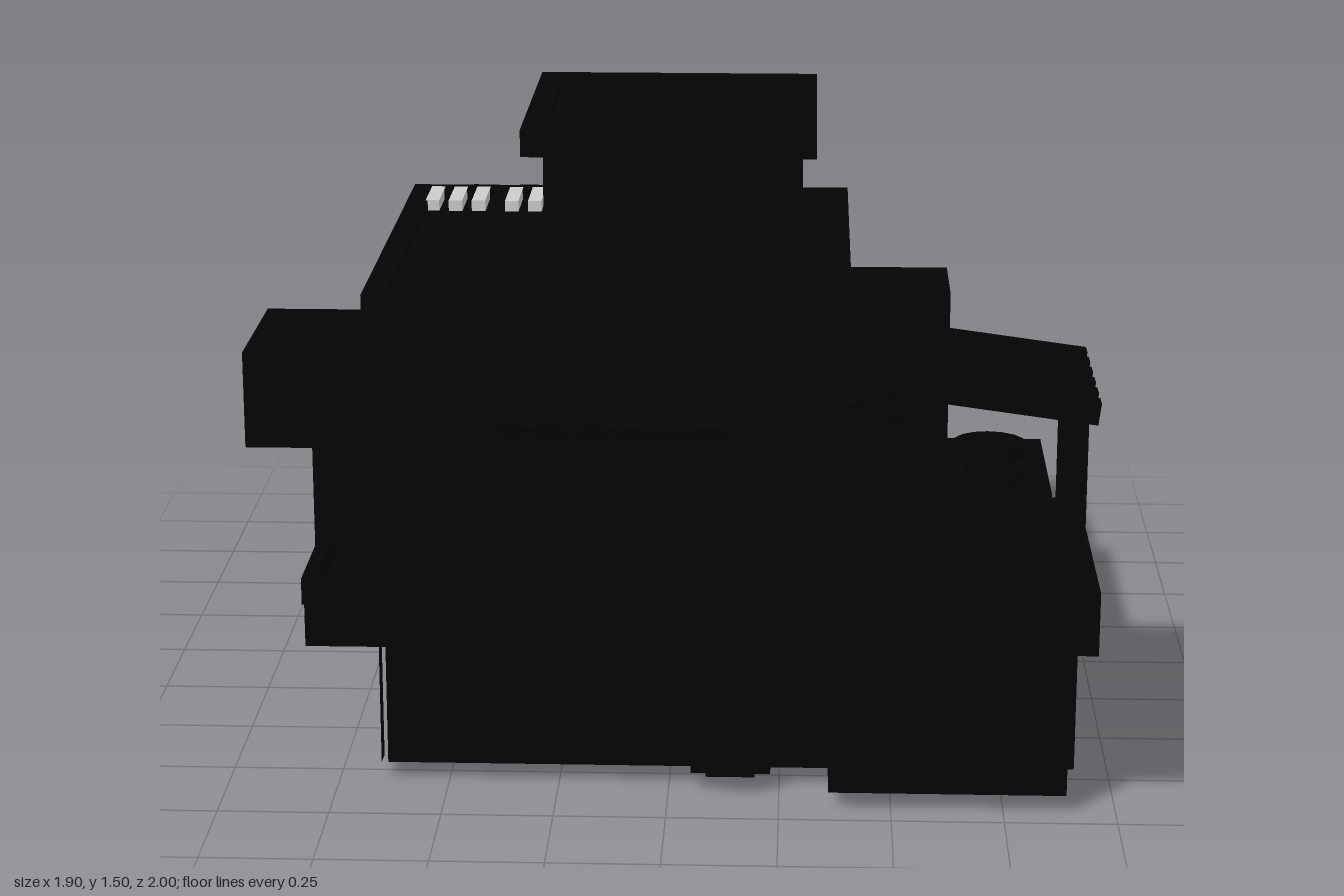
import * as THREE from 'three';

const dark = new THREE.MeshStandardMaterial({ color: 0x040404, flatShading: true, side: THREE.DoubleSide });
const grey = new THREE.MeshStandardMaterial({ color: 0xcccccc, flatShading: true, side: THREE.DoubleSide });
const inner = new THREE.MeshStandardMaterial({ color: 0xcccccc, flatShading: true, side: THREE.BackSide });

export function createModel() {
  const model = new THREE.Group();

  const add = (name, geo, mat = dark, parent = model) => {
    const m = new THREE.Mesh(geo, mat);
    m.name = name;
    parent.add(m);
    return m;
  };
  // box given by its two extreme corners
  const box = (name, x0, x1, y0, y1, z0, z1, mat = dark, parent = model) => {
    const m = add(name, new THREE.BoxGeometry(x1 - x0, y1 - y0, z1 - z0), mat, parent);
    m.position.set((x0 + x1) / 2, (y0 + y1) / 2, (z0 + z1) / 2);
    return m;
  };
  // block open underneath, with pale walls inside
  const shell = (name, x0, x1, y0, y1, z0, z1, ceiling = 0.42) => {
    const openBox = (mat, a, b, c, d, e, f, skip) => {
      const m = box(name, a, b, c, d, e, f, mat);
      const index = Array.from(m.geometry.index.array);
      // box faces run +x, -x, +y, -y, +z, -z, six indices each
      m.geometry.setIndex(index.filter((_, i) => !skip.includes(Math.floor(i / 6))));
    };
    const t = 0.008;
    openBox(dark, x0, x1, y0, y1, z0, z1, [3]);
    openBox(inner, x0 + t, x1 - t, y0, ceiling, z0 + t, z1 - t, [2, 3]);
    box(name + 'Ceiling', x0 + t, x1 - t, ceiling - 0.01, ceiling, z0 + t, z1 - t);
  };
  // roof slab with a raised rim
  const rimRoof = (name, x0, x1, y0, y1, z0, z1, w = 0.05) => {
    box(name, x0, x1, y0, y1 - 0.025, z0, z1);
    for (const [a, b, c, d] of [[x0, x1, z0, z0 + w], [x0, x1, z1 - w, z1],
      [x0, x0 + w, z0 + w, z1 - w], [x1 - w, x1, z0 + w, z1 - w]])
      box(name + 'Rim', a, b, y1 - 0.025, y1, c, d);
  };
  // sloping ribbed roof: starts at a wall, local +z points away from it
  const awning = (name, x, y, z, turn, width, depth, drop, ribs, thick = 0.03) => {
    const g = new THREE.Group();
    g.name = name;
    g.position.set(x, y, z);
    g.rotation.order = 'YXZ';
    g.rotation.set(Math.atan2(drop, depth), turn, 0);
    const len = Math.hypot(depth, drop), step = width / (ribs - 0.45);
    box(name + 'Panel', -width / 2, width / 2, -thick, -thick * 0.4, 0, len - 0.01, dark, g);
    for (let i = 0; i < ribs; i++) {
      const a = -width / 2 + i * step;
      box(name + 'Rib', a, a + step * 0.55, -thick, 0, 0, len, dark, g);
    }
    model.add(g);
  };
  // window or door on a wall, local +z pointing outwards
  const opening = (name, x, y, z, turn, w, h, bars = 1) => {
    const g = new THREE.Group();
    g.name = name;
    g.position.set(x, y, z);
    g.rotation.y = turn;
    const t = 0.02;
    box(name + 'Pane', -w / 2, w / 2, -h / 2, h / 2, -0.007, 0.006, dark, g);
    for (const s of [-1, 1]) {
      box(name + 'Frame', -w / 2, w / 2, s * h / 2 - t / 2, s * h / 2 + t / 2, 0, 0.02, dark, g);
      box(name + 'Frame', s * w / 2 - t / 2, s * w / 2 + t / 2, -h / 2, h / 2, 0, 0.02, dark, g);
    }
    for (let i = 1; i <= bars; i++) {
      const c = -w / 2 + (w * i) / (bars + 1);
      box(name + 'Bar', c - 0.006, c + 0.006, -h / 2, h / 2, 0, 0.014, dark, g);
    }
    model.add(g);
  };
  // round ventilator lying on a surface
  const fan = (x, y, z, r) => {
    const g = new THREE.Group();
    g.name = 'ventilator';
    g.position.set(x, y, z);
    add('ventilatorRing', new THREE.CylinderGeometry(r, r, 0.03, 16, 1, true), dark, g);
    add('ventilatorHub', new THREE.CylinderGeometry(r * 0.25, r * 0.25, 0.03, 10), dark, g);
    for (let i = 0; i < 4; i++) {
      const b = add('ventilatorBlade', new THREE.BoxGeometry(r * 1.9, 0.006, r * 0.25), dark, g);
      b.rotation.y = (i * Math.PI) / 4;
    }
    model.add(g);
  };
  // flat outline in the plane of the left wall, points given as z, y
  const sidePanel = (name, x, points, mat) => {
    const shape = new THREE.Shape(points.map(([z, y]) => new THREE.Vector2(-z, y)));
    const m = add(name, new THREE.ShapeGeometry(shape), mat);
    m.rotation.y = Math.PI / 2;
    m.position.x = x;
  };
  const { PI } = Math;

  // ground floor
  shell('mainGroundFloor', -0.64, 0.37, 0.04, 0.54, -0.2, 0.8);
  shell('garage', 0.36, 0.89, 0.04, 0.42, 0.36, 0.94, 0.39);
  shell('rearWing', -0.58, 0.23, 0.04, 0.76, -0.96, -0.2);
  box('frontDoorPorch', 0.05, 0.23, 0.04, 0.37, 0.8, 0.84);
  opening('frontDoor', 0.14, 0.19, 0.84, 0, 0.11, 0.28, 0);
  opening('groundWindow', -0.3, 0.22, 0.8, 0, 0.52, 0.24, 3);
  opening('garageWindow', 0.62, 0.25, 0.945, 0, 0.38, 0.2, 2);
  opening('garageSideWindow', 0.89, 0.22, 0.66, PI / 2, 0.4, 0.28, 2);

  // left wall facing that dips to the ground, dark outside and pale inside
  const skirt = [[0.8, 0.4], [0.8, 0.04], [0.42, 0], [-0.12, 0], [-0.2, 0.04], [-0.2, 0.4]];
  sidePanel('sideSkirt', -0.655, skirt, dark);
  sidePanel('sideSkirtLining', -0.648, skirt, grey);
  sidePanel('sideSkirtEdge', -0.657, [[0.8, 0.28], [0.8, 0.04], [0.73, 0.04]], grey);
  box('wallGapLining', -0.64, -0.59, 0.04, 0.5, -0.206, -0.2, grey);

  // balcony running round the front with a parapet
  const outline = [[-0.805, 0.33], [-0.64, 0.33], [-0.64, 0.8], [0.37, 0.8], [0.37, 0.34], [0.945, 0.34],
    [0.945, 1], [-0.79, 1], [-0.79, 0.79], [-0.805, 0.79]];
  const deck = add('balconyDeck', new THREE.ExtrudeGeometry(
    new THREE.Shape(outline.map(([x, z]) => new THREE.Vector2(x, -z))), { depth: 0.085, bevelEnabled: false }));
  deck.rotation.x = -PI / 2;
  deck.position.y = 0.395;
  for (const [a, b, c, d] of [[-0.79, 0.945, 0.97, 1], [-0.8, -0.77, 0.33, 0.97], [0.915, 0.945, 0.34, 0.97],
    [0.37, 0.915, 0.34, 0.37], [-0.77, -0.64, 0.33, 0.36]])
    box('balconyParapet', a, b, 0.48, 0.54, c, d);

  // upper floor and its roof
  box('upperFloor', -0.64, 0.37, 0.54, 1.08, -0.2, 0.81);
  rimRoof('mainRoof', -0.67, 0.4, 1.08, 1.15, -0.23, 0.84);
  for (let i = 0; i < 6; i++) {
    const x = -0.625 + i * 0.056 + (i > 2 ? 0.025 : 0);
    box('roofVentSlat', x, x + 0.033, 1.12, 1.151, -0.205, -0.055, grey);
  }
  opening('frontUpperWindow', -0.12, 0.72, 0.81, 0, 0.38, 0.27, 2);
  opening('smallUpperWindow', -0.57, 0.81, 0.81, 0, 0.12, 0.24, 0);
  opening('balconyDoor', 0.37, 0.71, 0.57, PI / 2, 0.36, 0.33, 1);
  awning('frontAwning', -0.115, 0.97, 0.8, 0, 0.49, 0.165, 0.075, 6);

  // terrace shelter on posts
  awning('terraceShelter', 0.36, 0.99, 0.575, PI / 2, 0.46, 0.59, 0.08, 6, 0.05);
  for (const z of [0.37, 0.57, 0.77]) box('shelterPost', 0.89, 0.925, 0.48, 0.88, z - 0.017, z + 0.017);

  // tower
  box('tower', -0.28, 0.26, 1.12, 1.44, 0.17, 0.69);
  rimRoof('towerRoof', -0.325, 0.32, 1.44, 1.5, 0.1, 0.75);
  box('towerSidePanel', 0.25, 0.275, 1.2, 1.39, 0.25, 0.6);
  opening('towerSideWindow', 0.27, 1.295, 0.425, PI / 2, 0.3, 0.16, 1);
  box('towerBackUnit', -0.14, 0.06, 1.12, 1.27, 0.1, 0.18);

  // side machine boxes
  box('upperSideUnit', -0.95, -0.63, 0.77, 0.99, 0.37, 0.745);
  box('sideBay', -0.8, -0.63, 0.48, 0.77, 0.34, 0.64);
  box('balconyPost', -0.8, -0.775, 0.48, 0.78, 0.72, 0.745);
  for (const z of [0.46, 0.64]) fan(-0.77, 0.98, z, 0.07);
  box('rightWallUnit', 0.36, 0.56, 0.42, 0.68, -0.13, 0.28);
  for (const z of [-0.02, 0.17]) fan(0.47, 0.685, z, 0.075);
  opening('rightUnitGrille', 0.555, 0.55, 0.075, PI / 2, 0.34, 0.2, 4);

  // left side window with awning
  box('leftWindowBox', -0.7, -0.63, 0.42, 0.72, -0.11, 0.19);
  opening('leftWindow', -0.7, 0.56, 0.04, -PI / 2, 0.24, 0.2, 1);
  awning('leftAwning', -0.64, 0.81, 0.04, -PI / 2, 0.36, 0.21, 0.09, 6);

  // rear wing top room, roof and window awnings
  box('rearRoom', -0.57, -0.05, 0.76, 0.96, -0.93, -0.53);
  box('rearRoomUpperWall', -0.57, -0.05, 0.96, 0.99, -0.75, -0.53);
  awning('rearShelter', -0.315, 1.062, -0.505, PI, 0.57, 0.495, 0.09, 5, 0.05);
  awning('rearLeftAwning', -0.575, 0.5, -0.58, -PI / 2, 0.42, 0.2, 0.08, 6);
  opening('rearLeftWindow', -0.58, 0.28, -0.58, -PI / 2, 0.32, 0.22, 1);
  awning('rearRightAwning', 0.22, 0.39, -0.42, PI / 2, 0.36, 0.17, 0.06, 6);
  opening('rearRightDoor', 0.23, 0.19, -0.42, PI / 2, 0.24, 0.26, 1);

  // rear arm pierced by an arched passage
  const arm = new THREE.Shape();
  arm.moveTo(0.22, 0.04).lineTo(0.4, 0.04).lineTo(0.4, 0.46);
  arm.absarc(0.49, 0.46, 0.09, PI, 0, true);
  arm.lineTo(0.58, 0.04).lineTo(0.68, 0.04).lineTo(0.68, 0.76).lineTo(0.22, 0.76);
  const armMesh = add('rearArm', new THREE.ExtrudeGeometry(arm, { depth: 0.27, bevelEnabled: false, curveSegments: 10 }));
  armMesh.position.z = -0.965;

  // outbuilding and the low wall leading to it
  shell('outbuilding', 0.67, 0.945, 0.04, 0.28, -0.96, -0.48, 0.25);
  fan(0.8, 0.295, -0.83, 0.1);
  fan(0.8, 0.295, -0.6, 0.08);
  box('outbuildingHatch', 0.74, 0.84, 0.12, 0.2, -0.975, -0.95);
  shell('lowWall', 0.67, 0.71, 0.04, 0.18, -0.48, 0.36, 0.16);

  return model;
}
